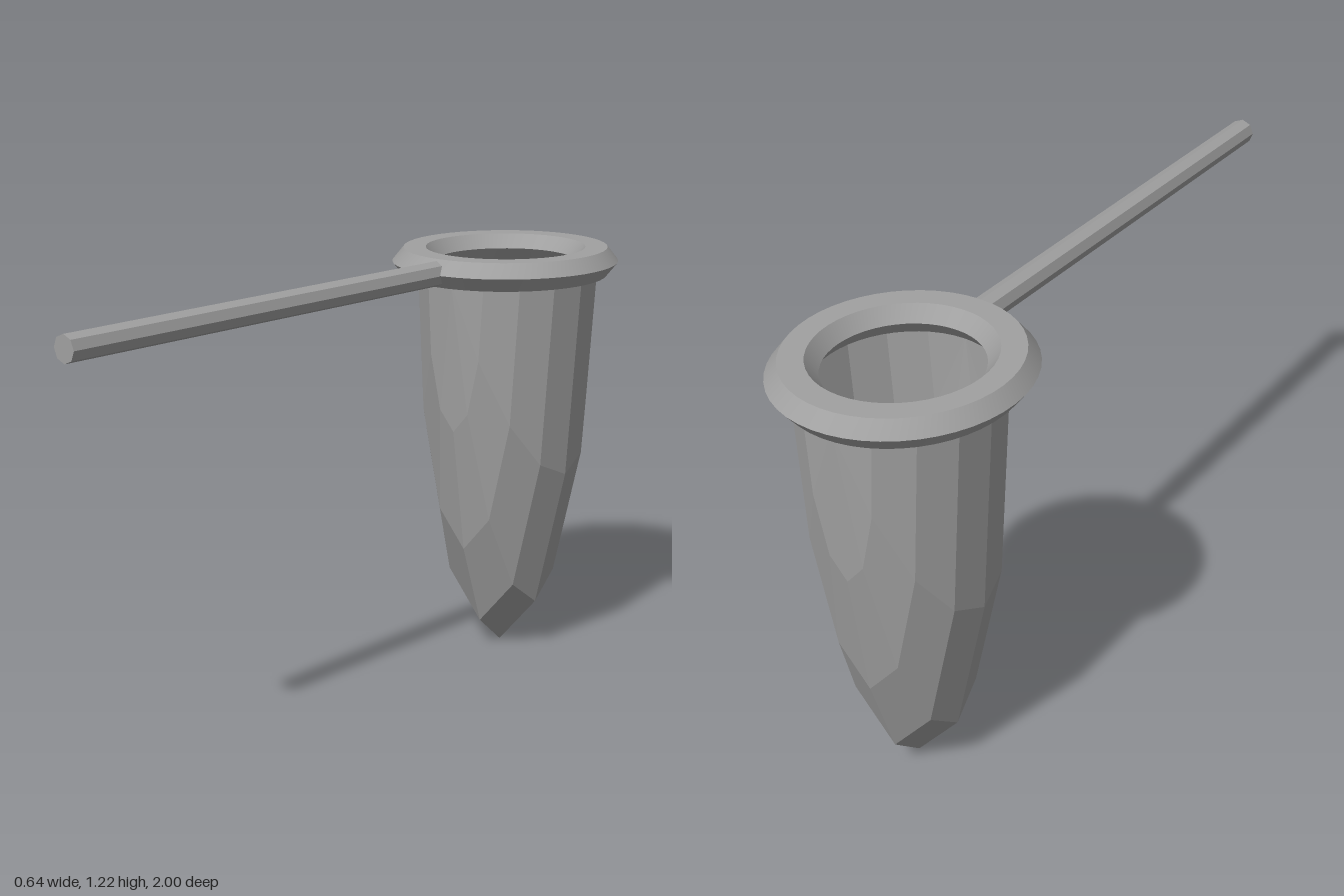
import * as THREE from 'three';
import { toCreasedNormals } from 'three/addons/utils/BufferGeometryUtils.js';

export function createModel() {
  const model = new THREE.Group();
  model.name = 'strainer';

  const metal = new THREE.MeshStandardMaterial({ color: 0xa0a0a0 });
  metal.name = 'grey metal';
  const mesh = metal.clone();
  mesh.name = 'grey mesh';
  mesh.flatShading = true;
  mesh.side = THREE.DoubleSide;

  const add = (name, geometry, material, x, y, z) => {
    const part = new THREE.Mesh(geometry, material);
    part.name = name;
    part.position.set(x, y, z);
    model.add(part);
  };

  // Slightly oval rim with a flattened six-sided section
  const rim = new THREE.TorusGeometry(0.257, 0.0625, 6, 48);
  rim.rotateX(Math.PI / 2);
  rim.scale(1, 0.74, 1.073);
  add('rim', toCreasedNormals(rim, 0.5), metal, 0, 1.183, -0.657);

  // Open bag: lower half of a stretched sphere with its poles at front and back
  const bag = new THREE.SphereGeometry(1, 6, 8, 0, Math.PI);
  bag.rotateX(Math.PI / 2);
  bag.scale(0.264, 1.145, 0.262);
  add('bag', bag, mesh, 0, 1.145, -0.671);

  // Straight eight-sided handle running forward from the rim
  const length = 1.345;
  const handle = new THREE.CylinderGeometry(0.036, 0.036, length, 8);
  handle.rotateX(Math.PI / 2);
  add('handle', toCreasedNormals(handle, 0.5), metal, 0, 1.182, 1 - length / 2);

  return model;
}
